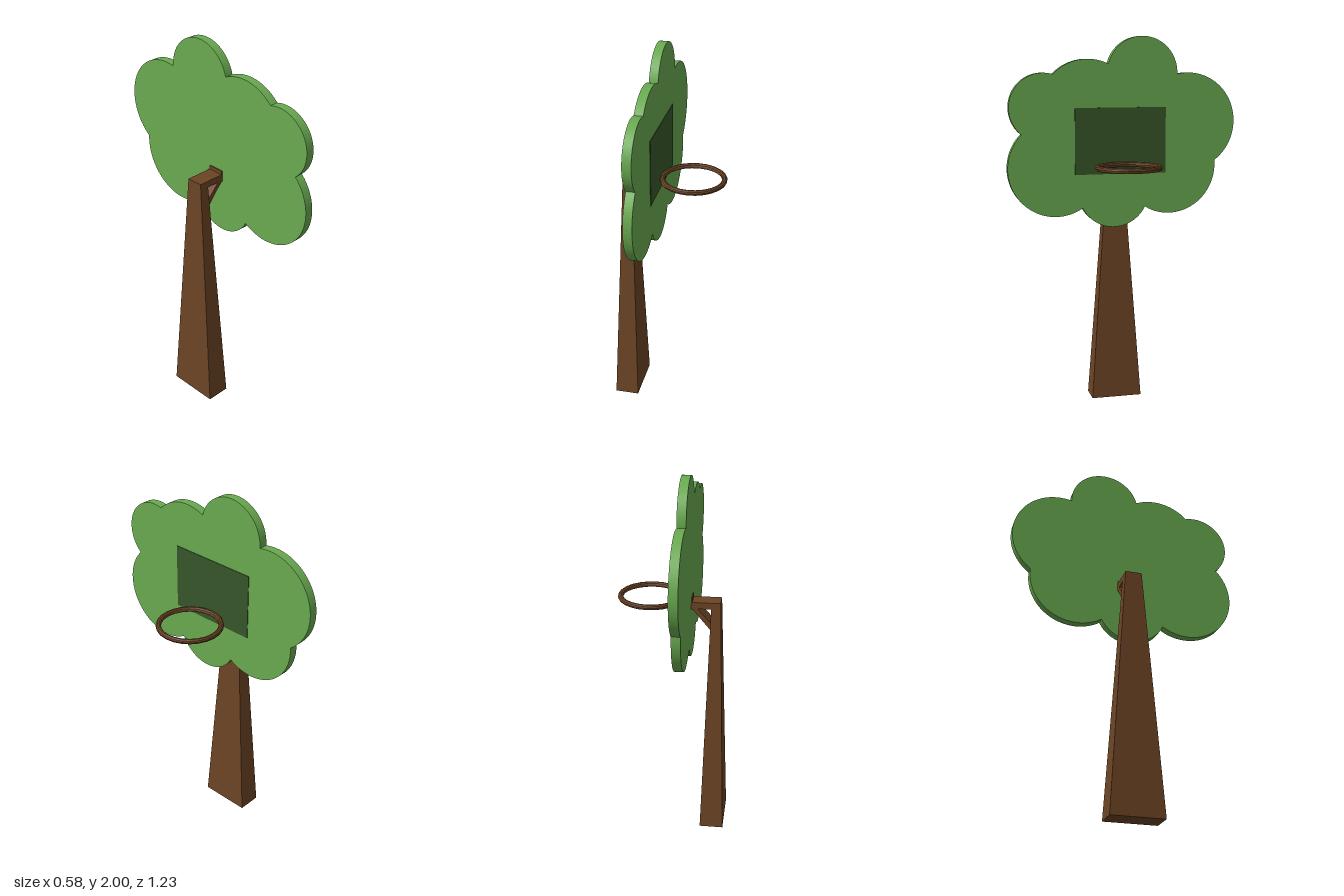
import * as THREE from 'three';

const material = (color) => new THREE.MeshStandardMaterial({ color, flatShading: true });

export function createModel() {
  const group = new THREE.Group();
  const brown = material(0x6c4424);
  const leaf = material(0x69aa50);
  const darkGreen = material(0x365628);

  const add = (name, geometry, mat) => {
    const mesh = new THREE.Mesh(geometry, mat);
    mesh.name = name;
    group.add(mesh);
    return mesh;
  };
  // Box given by its extents on each axis
  const box = (name, [x0, x1], [y0, y1], [z0, z1], mat) => {
    const mesh = add(name, new THREE.BoxGeometry(x1 - x0, y1 - y0, z1 - z0), mat);
    mesh.position.set((x0 + x1) / 2, (y0 + y1) / 2, (z0 + z1) / 2);
    return mesh;
  };
  // Shape drawn in the (x, y) plane, extruded from z0 to z1
  const extrude = (shape, depth) =>
    new THREE.ExtrudeGeometry(shape, { depth, bevelEnabled: false, curveSegments: 28 });

  // Trunk: box tapering to the top
  const trunk = new THREE.BoxGeometry(1, 1, 1);
  const p = trunk.attributes.position;
  for (let i = 0; i < p.count; i++) {
    const top = p.getY(i) > 0;
    const [hx, hz] = top ? [0.024, 0.044] : [0.064, 0.139];
    const cx = top ? -0.226 : -0.23;
    p.setXYZ(i, cx + Math.sign(p.getX(i)) * hx, top ? 1.32 : 0, 0.011 + Math.sign(p.getZ(i)) * hz);
  }
  trunk.computeVertexNormals();
  add('trunk', trunk, brown);

  // Arm, diagonal brace and mounting plate behind the crown
  const armZ = [-0.033, 0.055];
  box('arm', [-0.245, -0.095], [1.285, 1.32], armZ, brown);
  const braceShape = new THREE.Shape([
    [-0.21, 1.155], [-0.098, 1.29], [-0.127, 1.29], [-0.21, 1.198],
  ].map(([x, y]) => new THREE.Vector2(x, y)));
  add('brace', extrude(braceShape, armZ[1] - armZ[0]), brown).position.z = armZ[0];
  box('mountingPlate', [-0.103, -0.096], [1.28, 1.34], armZ, brown);

  // Crown: cloud outline joined from overlapping circles [z, y, radius], counter-clockwise
  const lobes = [
    [0.05, 1.185, 0.19], [0.36, 1.315, 0.255], [0.424, 1.632, 0.18], [0.19, 1.627, 0.255],
    [-0.105, 1.81, 0.19], [-0.355, 1.55, 0.26], [-0.255, 1.315, 0.255],
  ];
  // Outer crossing point of two neighbouring lobes
  const crossing = ([ax, ay, ar], [bx, by, br]) => {
    const dx = bx - ax, dy = by - ay, d = Math.hypot(dx, dy);
    const a = (d * d + ar * ar - br * br) / (2 * d);
    const h = Math.sqrt(ar * ar - a * a);
    return [ax + (a * dx + h * dy) / d, ay + (a * dy - h * dx) / d];
  };
  const outline = new THREE.Shape();
  lobes.forEach((lobe, i) => {
    const n = lobes.length;
    const [sx, sy] = crossing(lobes[(i + n - 1) % n], lobe);
    const [ex, ey] = crossing(lobe, lobes[(i + 1) % n]);
    const [cx, cy, r] = lobe;
    outline.absarc(cx, cy, r, Math.atan2(sy - cy, sx - cx), Math.atan2(ey - cy, ex - cx), false);
  });
  const crown = add('crown', extrude(outline, 0.046), leaf);
  crown.rotation.y = -Math.PI / 2;
  crown.position.x = -0.052;

  // Backboard panel and hoop
  box('backboard', [-0.075, -0.049], [1.28, 1.63], [-0.232, 0.26], darkGreen);
  const hoop = add('hoop', new THREE.TorusGeometry(0.16, 0.014, 10, 24), brown);
  hoop.rotation.x = Math.PI / 2;
  hoop.position.set(0.115, 1.33, 0.011);

  return group;
}
